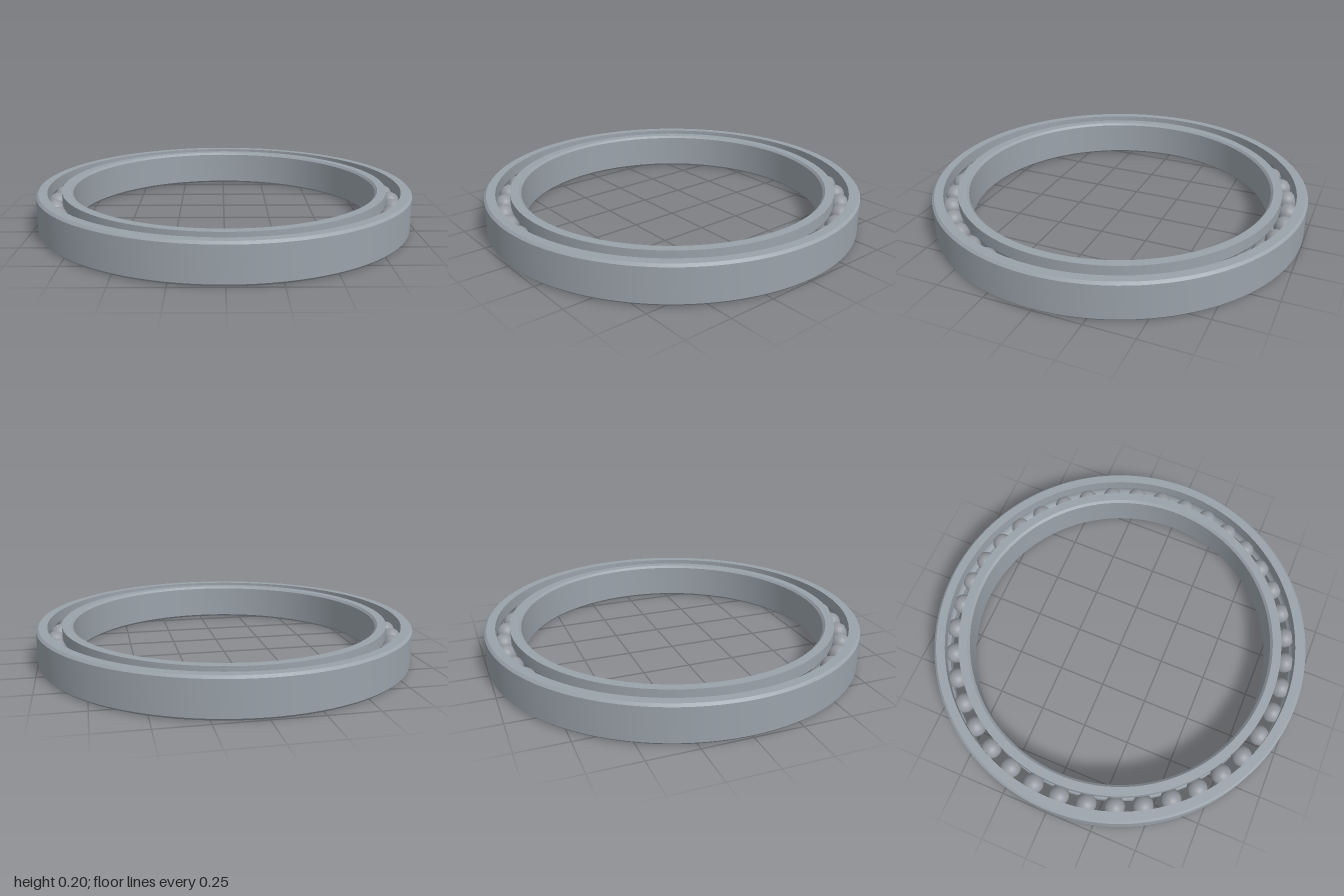
import * as THREE from 'three';
import { toCreasedNormals } from 'three/addons/utils/BufferGeometryUtils.js';

const HEIGHT = 0.2, MID = HEIGHT / 2;
const OUTER = 1, BORE = 0.81, PITCH = 0.905;
const SHOULDER = 0.037;   // half the gap between the rings
const BALL = 0.054, BALL_COUNT = 39;
const CHAMFER = 0.012;

// Ring profile, from the plain wall to the grooved wall.
// side = 1 for the outer ring, -1 for the inner ring.
function ringGeometry(wall, side) {
  const shoulder = PITCH + side * SHOULDER;
  const p = [
    [shoulder, 0],
    [wall - side * CHAMFER, 0],
    [wall, CHAMFER],
    [wall, HEIGHT - CHAMFER],
    [wall - side * CHAMFER, HEIGHT],
    [shoulder, HEIGHT],
  ];
  // Curved raceway that the balls sit in
  const half = Math.acos(SHOULDER / BALL);
  for (let i = 0; i <= 10; i++) {
    const a = half * (1 - i / 5);
    p.push([PITCH + side * BALL * Math.cos(a), MID + BALL * Math.sin(a)]);
  }
  p.push([shoulder, 0]);
  if (side < 0) p.reverse();   // keep the faces pointing outwards
  const points = p.map(([r, y]) => new THREE.Vector2(r, y));
  return toCreasedNormals(new THREE.LatheGeometry(points, 128), 0.5);
}

export function createModel() {
  const group = new THREE.Group();
  group.name = 'ballBearing';

  const steel = new THREE.MeshStandardMaterial({ color: 0x9aa2aa });
  steel.name = 'ring steel';
  const ballSteel = new THREE.MeshStandardMaterial({ color: 0x94989e });
  ballSteel.name = 'ball steel';

  // Outer and inner rings
  const outerRing = new THREE.Mesh(ringGeometry(OUTER, 1), steel);
  outerRing.name = 'outerRing';
  const innerRing = new THREE.Mesh(ringGeometry(BORE, -1), steel);
  innerRing.name = 'innerRing';
  group.add(outerRing, innerRing);

  // Balls, the first one at the back
  const balls = new THREE.Group();
  balls.name = 'balls';
  const ballGeometry = new THREE.SphereGeometry(BALL, 28, 18);
  for (let i = 0; i < BALL_COUNT; i++) {
    const a = (i / BALL_COUNT) * Math.PI * 2;
    const ball = new THREE.Mesh(ballGeometry, ballSteel);
    ball.name = 'ball';
    ball.position.set(PITCH * Math.sin(a), MID, -PITCH * Math.cos(a));
    balls.add(ball);
  }
  group.add(balls);

  return group;
}
